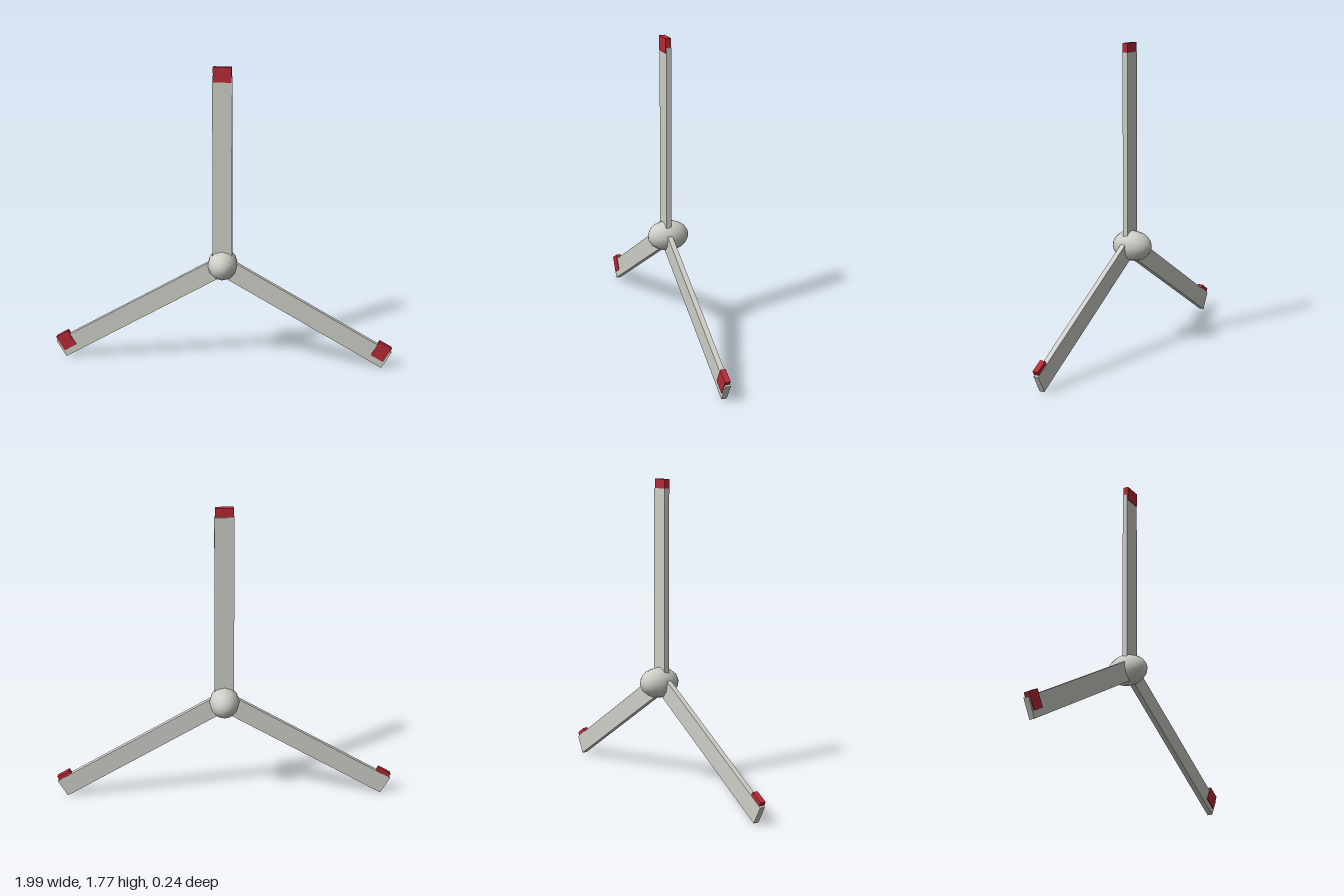
import * as THREE from 'three';

const HUB_Y = 0.615;

export function createModel() {
  const model = new THREE.Group();
  model.name = 'rotor';
  const grey = new THREE.MeshStandardMaterial({ name: 'pale grey', color: 0xcfcfc9 });
  const red = new THREE.MeshStandardMaterial({ name: 'signal red', color: 0xb72a35 });

  // Box given by its min and max corners
  function addBox(parent, name, material, [x0, y0, z0], [x1, y1, z1]) {
    const geometry = new THREE.BoxGeometry(x1 - x0, y1 - y0, z1 - z0);
    geometry.translate((x0 + x1) / 2, (y0 + y1) / 2, (z0 + z1) / 2);
    const mesh = new THREE.Mesh(geometry, material);
    mesh.name = name;
    parent.add(mesh);
  }

  // Hub: coarse smooth ellipsoid, stretched along the rotor axis
  const hubGeometry = new THREE.SphereGeometry(1, 12, 10);
  hubGeometry.rotateX(Math.PI / 2);
  hubGeometry.scale(0.088, 0.09, 0.12);
  const hub = new THREE.Mesh(hubGeometry, grey);
  hub.name = 'hub';
  hub.position.y = HUB_Y;
  model.add(hub);

  // Three blades with red tips; the tip block is [left, bottom, right, top] in the blade's frame
  const blades = [
    { name: 'topBlade', angle: 0, tip: [-0.052, 1.083, 0.052, 1.168] },
    { name: 'leftBlade', angle: -2 * Math.PI / 3, tip: [-0.08, 1.02, 0.018, 1.103] },
    { name: 'rightBlade', angle: 2 * Math.PI / 3, tip: [-0.018, 1.02, 0.08, 1.103] },
  ];
  for (const { name, angle, tip } of blades) {
    const blade = new THREE.Group();
    blade.name = name;
    blade.position.y = HUB_Y;
    blade.rotation.z = angle;
    addBox(blade, 'bladeBar', grey, [-0.056, 0, 0], [0.056, 1.115, 0.03]);
    addBox(blade, 'bladeTip', red, [tip[0], tip[1], 0.002], [tip[2], tip[3], 0.034]);
    model.add(blade);
  }
  return model;
}
